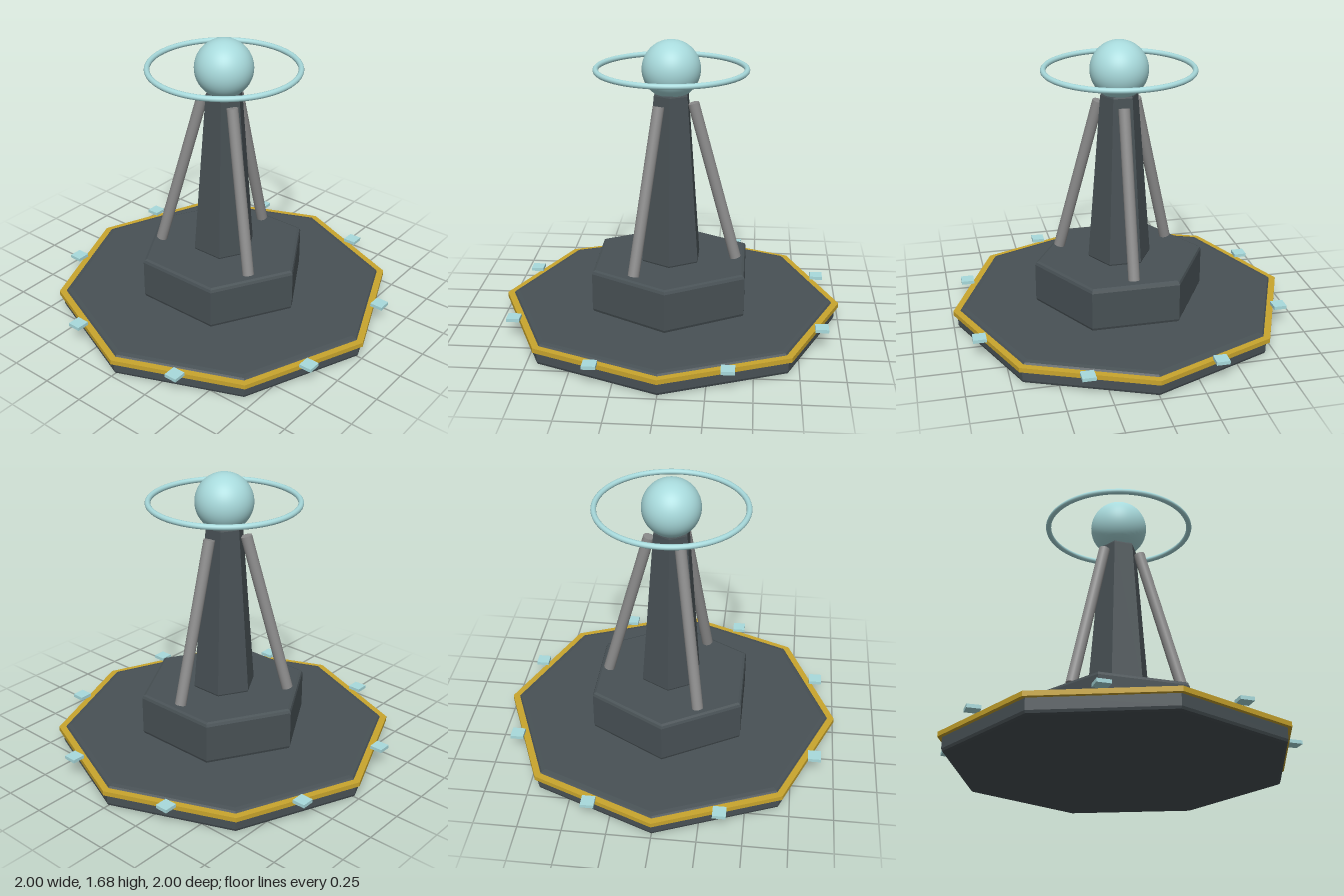
import * as THREE from 'three';

const paint = (name, color) => {
  const m = new THREE.MeshStandardMaterial({ color });
  m.name = name;
  return m;
};

export function createModel() {
  const model = new THREE.Group();
  const slate = paint('dark slate', 0x485155);
  const gold = paint('gold', 0xc9a52d);
  const aqua = paint('pale aqua', 0xa8dadc);
  const steel = paint('steel grey', 0x8c8c8c);

  const add = (name, geometry, material, x = 0, y = 0, z = 0) => {
    const mesh = new THREE.Mesh(geometry, material);
    mesh.name = name;
    mesh.position.set(x, y, z);
    model.add(mesh);
    return mesh;
  };

  // Faceted solid turned from a [radius, height] outline running bottom to top
  const faceted = (outline, sides) => {
    const g = new THREE.LatheGeometry(outline.map(p => new THREE.Vector2(...p)), sides).toNonIndexed();
    g.computeVertexNormals();
    return g;
  };

  // Outline of a (tapered) prism with softened top and bottom rims
  const softPrism = (r0, r1, y0, y1, b) => [
    [0, y0], [r0 - b, y0], [r0 - b * 0.3, y0 + b * 0.3], [r0, y0 + b],
    [r1, y1 - b], [r1 - b * 0.3, y1 - b * 0.3], [r1 - b, y1], [0, y1],
  ];

  // Octagonal base with its gold trim
  add('base', faceted([
    [0, 0], [0.955, 0], [0.969, 0.006], [0.975, 0.02], [0.975, 0.095],
    [0.957, 0.112], [0.951, 0.12], [0.925, 0.125], [0, 0.125],
  ], 8), slate);
  add('baseTrim', faceted([
    [0.945, 0.083], [1, 0.083], [1, 0.11], [0.945, 0.11], [0.945, 0.083],
  ], 8), gold);

  // Hexagonal plinth and tapered mast
  add('plinth', faceted(softPrism(0.507, 0.507, 0.12, 0.382, 0.022), 6), slate);
  add('mast', faceted(softPrism(0.187, 0.11, 0.38, 1.385, 0.012), 6), slate);

  // Glowing orb and the ring around it
  add('orb', new THREE.SphereGeometry(0.167, 48, 32), aqua, 0, 1.518, 0);
  add('haloRing', new THREE.TorusGeometry(0.426, 0.016, 12, 96), aqua, 0, 1.518, 0).rotation.x = Math.PI / 2;

  // Three leaning struts
  const up = new THREE.Vector3(0, 1, 0);
  for (let i = 0; i < 3; i++) {
    const turn = i * Math.PI * 2 / 3;
    const foot = new THREE.Vector3(0.38, 0.39, 0).applyAxisAngle(up, turn);
    const head = new THREE.Vector3(0.126, 1.325, 0).applyAxisAngle(up, turn);
    const dir = head.clone().sub(foot);
    const strut = add('strut', new THREE.CylinderGeometry(0.033, 0.033, dir.length(), 24), steel);
    strut.position.copy(foot).add(head).multiplyScalar(0.5);
    strut.quaternion.setFromUnitVectors(up, dir.normalize());
  }

  // Marker lamps, one on the middle of each side
  const lamp = new THREE.BoxGeometry(0.076, 0.02, 0.076);
  for (let i = 0; i < 8; i++) {
    const a = (i + 0.5) * Math.PI / 4;
    add('markerLamp', lamp, aqua, Math.cos(a) * 0.956, 0.121, Math.sin(a) * 0.956);
  }

  return model;
}
